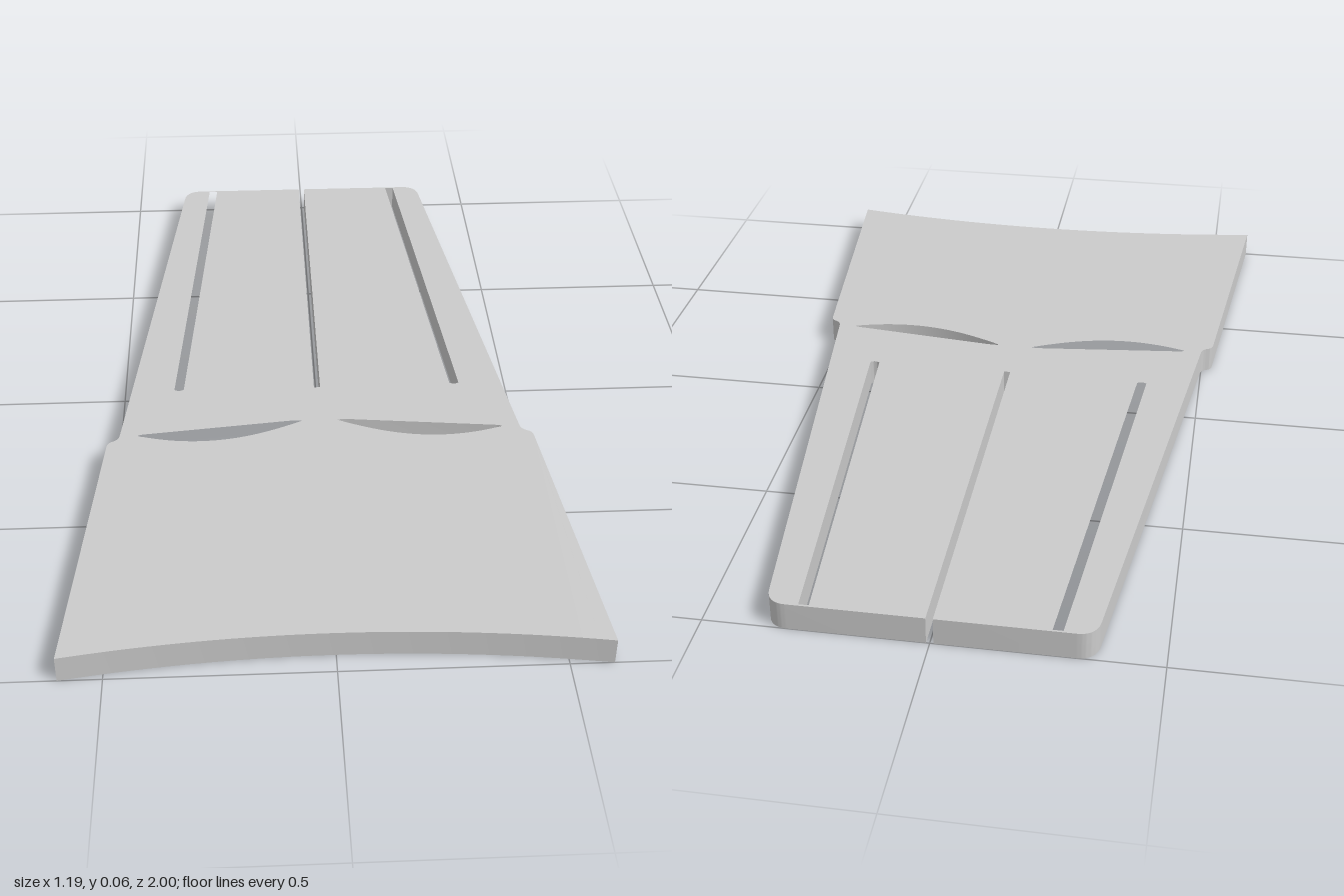
import * as THREE from 'three';
import { toCreasedNormals } from 'three/addons/utils/BufferGeometryUtils.js';

const THICKNESS = 0.065;

// Long slanted slot, closed just short of the back edge
function slot(s) {
  const p = new THREE.Path();
  p.moveTo(s * 0.260, -0.995);
  p.lineTo(s * 0.283, -0.995);
  p.lineTo(s * 0.367, 0.045);
  p.quadraticCurveTo(s * 0.355, 0.055, s * 0.343, 0.045);
  p.closePath();
  return p;
}

// Crescent opening: nearly straight at the back, bulging to the front
function crescent(s) {
  const p = new THREE.Path();
  p.moveTo(s * 0.045, 0.192);
  p.quadraticCurveTo(s * 0.05, 0.188, s * 0.08, 0.191);
  p.lineTo(s * 0.44, 0.231);
  p.quadraticCurveTo(s * 0.465, 0.236, s * 0.44, 0.241);
  p.bezierCurveTo(s * 0.33, 0.277, s * 0.23, 0.27, s * 0.13, 0.231);
  p.quadraticCurveTo(s * 0.08, 0.211, s * 0.045, 0.192);
  return p;
}

export function createModel() {
  const group = new THREE.Group();
  group.name = 'slottedPanel';

  // Outline drawn in x and z, starting at the front right corner
  const outline = new THREE.Shape();
  outline.moveTo(-0.597, 1);
  outline.quadraticCurveTo(-0.3, 0.95, 0, 0.95);
  outline.quadraticCurveTo(0.3, 0.95, 0.597, 1);
  // left side with its small step
  outline.lineTo(0.528, 0.275);
  outline.quadraticCurveTo(0.526, 0.262, 0.515, 0.257);
  outline.quadraticCurveTo(0.5, 0.25, 0.498, 0.235);
  outline.lineTo(0.358, -0.955);
  outline.quadraticCurveTo(0.352, -1, 0.31, -1);
  // centre slot, open at the back
  outline.lineTo(0.008, -1);
  outline.lineTo(0.008, 0.05);
  outline.lineTo(-0.008, 0.05);
  outline.lineTo(-0.008, -1);
  // right side
  outline.lineTo(-0.31, -1);
  outline.quadraticCurveTo(-0.352, -1, -0.358, -0.955);
  outline.lineTo(-0.498, 0.235);
  outline.quadraticCurveTo(-0.5, 0.25, -0.515, 0.257);
  outline.quadraticCurveTo(-0.526, 0.262, -0.528, 0.275);
  outline.closePath();

  for (const s of [-1, 1]) outline.holes.push(slot(s), crescent(s));

  const geometry = new THREE.ExtrudeGeometry(outline, {
    depth: THICKNESS, bevelEnabled: false, curveSegments: 16,
  });
  geometry.rotateX(Math.PI / 2).translate(0, THICKNESS, 0);

  const panel = new THREE.Mesh(
    toCreasedNormals(geometry, 0.5),
    new THREE.MeshStandardMaterial({ color: 0xcccccc }),
  );
  panel.name = 'panel';
  group.add(panel);
  return group;
}
